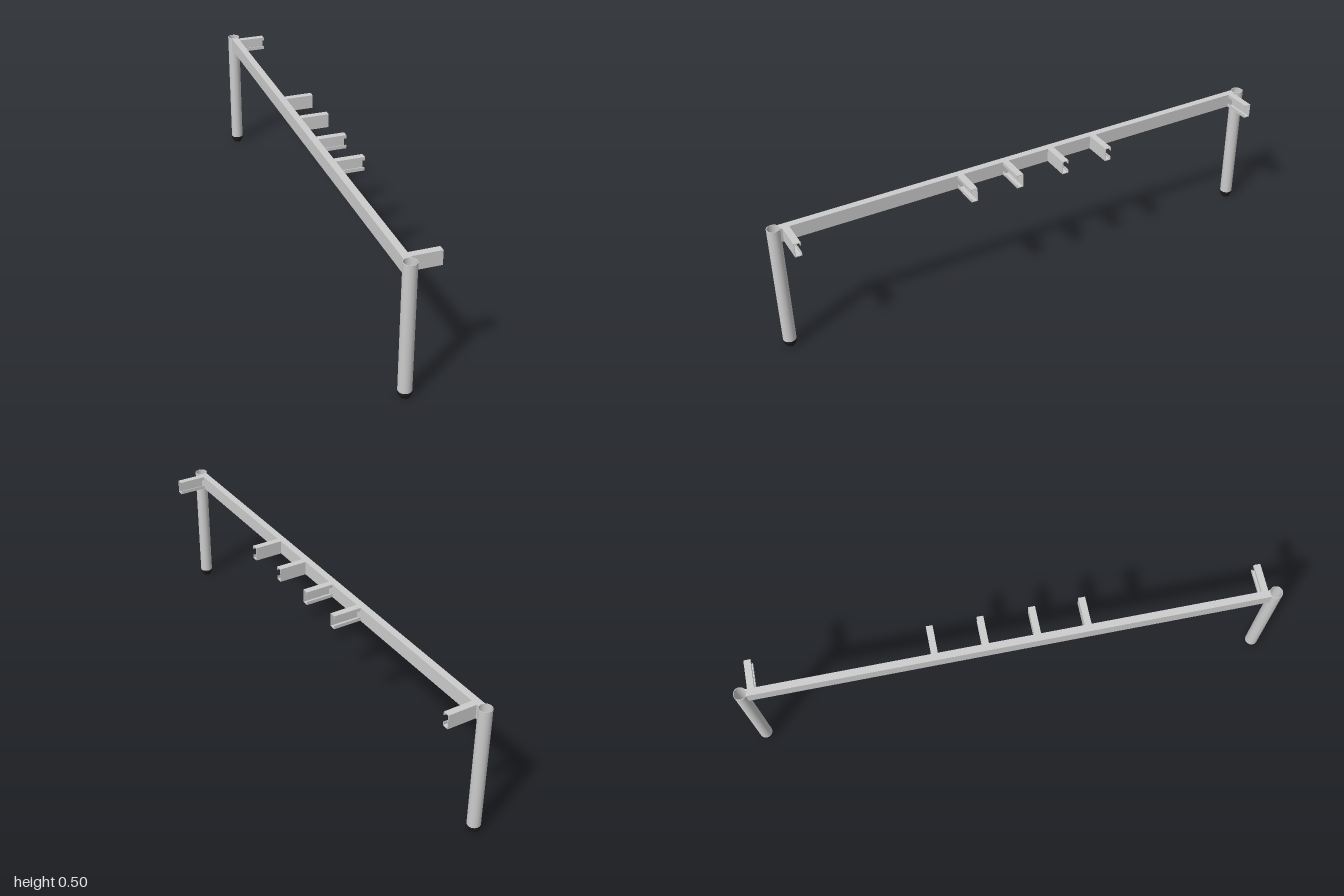
import * as THREE from 'three';

const LEG_X = -0.049, LEG_Z = 0.976, LEG_R = 0.024, WALL = 0.002;
const TOP = 0.503, RAIL_BOTTOM = 0.45, RAIL_HALF = 0.0135;

const steel = new THREE.MeshStandardMaterial({ color: 0xcccccc });
const rubber = new THREE.MeshStandardMaterial({ color: 0x1c1c1c });

const lathe = (points, material, name) => {
  const geometry = new THREE.LatheGeometry(points.map(([r, y]) => new THREE.Vector2(r, y)), 32);
  const mesh = new THREE.Mesh(geometry, material);
  mesh.name = name;
  return mesh;
};

// Upright hollow pipe, open at the top, on a rounded black foot
function makeLeg(side) {
  const leg = new THREE.Group();
  leg.name = side > 0 ? 'frontLeg' : 'backLeg';
  const inner = LEG_R - WALL;
  // Corner points are doubled so that the pipe rims stay crisp
  leg.add(lathe([
    [LEG_R, 0.026], [LEG_R, TOP], [LEG_R, TOP], [inner, TOP], [inner, TOP], [inner, 0.026],
  ], steel, 'pipe'));
  leg.add(lathe([
    [0, 0], [0.0155, 0], [0.0155, 0], [0.016, 0.006], [0.016, 0.006], [0.0195, 0.008],
    [0.0225, 0.013], [0.0242, 0.02], [0.0243, 0.027], [0.0243, 0.027], [0, 0.027],
  ], rubber, 'foot'));
  leg.position.set(LEG_X, 0, side * LEG_Z);
  return leg;
}

// Long rail whose ends are hollowed to fit round the legs
function makeRail() {
  const a = Math.asin(RAIL_HALF / LEG_R);
  const shape = new THREE.Shape();
  shape.absarc(0, -LEG_Z, LEG_R, Math.PI / 2 + a, Math.PI / 2 - a, true);
  shape.absarc(0, LEG_Z, LEG_R, -Math.PI / 2 + a, -Math.PI / 2 - a, true);
  shape.closePath();
  const geometry = new THREE.ExtrudeGeometry(shape, {
    depth: TOP - RAIL_BOTTOM, bevelEnabled: false, curveSegments: 8,
  });
  geometry.rotateX(-Math.PI / 2);
  const rail = new THREE.Mesh(geometry, steel);
  rail.name = 'rail';
  rail.position.set(LEG_X, RAIL_BOTTOM, 0);
  return rail;
}

// Short lipped C-channel reaching out along +x; open is the z direction of its slot
function makeBracket(z, open) {
  const w = 0.0125, h = (TOP - RAIL_BOTTOM) / 2, t = 0.0025, lip = 0.013;
  const half = [[w, h - lip], [w, h], [-w, h]];
  const innerHalf = [[-w + t, h - t], [w - t, h - t], [w - t, h - lip]];
  const flip = (points) => points.map(([x, y]) => [x, -y]).reverse();
  const outline = [...half, ...flip(half), ...flip(innerHalf), ...innerHalf];
  const shape = new THREE.Shape(outline.map(([x, y]) => new THREE.Vector2(x, y)));
  const start = LEG_X + RAIL_HALF;
  const length = 0.072 - start;
  const geometry = new THREE.ExtrudeGeometry(shape, { depth: length, bevelEnabled: false });
  geometry.translate(0, 0, -length / 2);
  // The slot side is local +x, turned to face +z or -z
  geometry.rotateY(-open * Math.PI / 2);
  const bracket = new THREE.Mesh(geometry, steel);
  bracket.name = 'bracket';
  bracket.position.set(start + length / 2, RAIL_BOTTOM + h, z);
  return bracket;
}

export function createModel() {
  const model = new THREE.Group();
  model.name = 'sideFrame';
  model.add(makeRail());
  for (const side of [1, -1]) {
    model.add(makeLeg(side));
    // Inner brackets open outwards, end brackets open inwards
    for (const [z, open] of [[0.095, 1], [0.28, 1], [0.936, -1]]) {
      model.add(makeBracket(side * z, side * open));
    }
  }
  return model;
}
